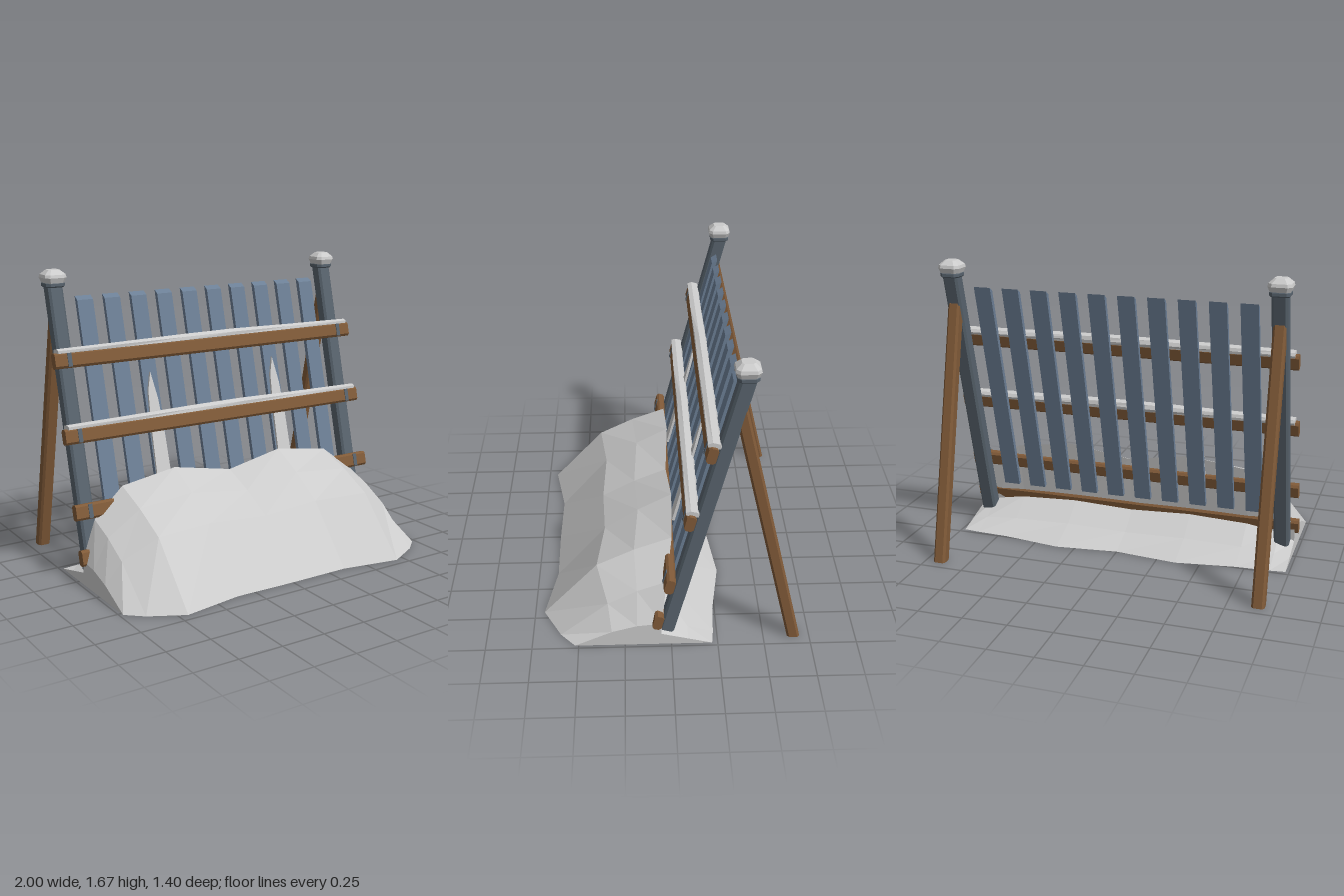
import * as THREE from 'three';

const mat = (color) => new THREE.MeshStandardMaterial({ color, flatShading: true });

// Closed solid from loops of [x, y, z] points; the first point of each end loop is its fan centre
function loft(loops) {
  const n = loops[0].length, last = (loops.length - 1) * n, index = [];
  for (let i = 0; i < loops.length - 1; i++) {
    for (let j = 0; j < n; j++) {
      const k = (j + 1) % n, a = i * n + j, b = i * n + k;
      index.push(a, a + n, b + n, a, b + n, b);
    }
  }
  for (let j = 1; j < n - 1; j++) index.push(0, j, j + 1, last, last + j + 1, last + j);
  const g = new THREE.BufferGeometry();
  g.setAttribute('position', new THREE.Float32BufferAttribute(loops.flat(2), 3));
  g.setIndex(index);
  const flat = g.toNonIndexed();
  flat.computeVertexNormals();
  return flat;
}

// Chamfered rectangle corners, half sizes a and b
const chamferRect = (a, b, c) => [
  [a, -b + c], [a, b - c], [a - c, b], [-a + c, b],
  [-a, b - c], [-a, -b + c], [-a + c, -b], [a - c, -b],
];

// Bar with chamfered long edges, centred, running along z
function bar(w, h, length, c = 0.01) {
  const shape = new THREE.Shape(chamferRect(w / 2, h / 2, c).map((p) => new THREE.Vector2(...p)));
  return new THREE.ExtrudeGeometry(shape, { depth: length, bevelEnabled: false }).translate(0, 0, -length / 2);
}

// Stack of chamfered squares: [half size, y]
const stack = (levels) => loft(levels.map(([r, y]) =>
  chamferRect(r, r, r * 0.35).map(([x, z]) => [x, y, z])));

export function createModel() {
  const root = new THREE.Group();
  root.name = 'snowFence';
  const snow = mat(0xcccccc), iron = mat(0x58636d), slatPaint = mat(0x6c7f95), wood = mat(0x805a38);
  const add = (parent, name, geometry, material, x = 0, y = 0, z = 0) => {
    const m = new THREE.Mesh(geometry, material);
    m.name = name;
    m.position.set(x, y, z);
    parent.add(m);
    return m;
  };

  // Fence panel, leaning back
  const LEAN = 0.25, COS = Math.cos(LEAN), SIN = Math.sin(LEAN);
  const panel = new THREE.Group();
  panel.name = 'leaningPanel';
  panel.position.z = 0.043;
  panel.rotation.x = -LEAN;
  root.add(panel);

  // Slats with sloping tops
  const slatSide = new THREE.Shape([[0.01, 0.255], [0.036, 0.255], [0.036, 1.544], [0.01, 1.571]]
    .map((p) => new THREE.Vector2(...p)));
  const slatGeo = new THREE.ExtrudeGeometry(slatSide, { depth: 0.096, bevelEnabled: false })
    .translate(0, 0, -0.048).rotateY(-Math.PI / 2);
  for (let i = 0; i < 10; i++) add(panel, 'slat', slatGeo, slatPaint, (i - 4.5) * 0.167);

  // Rails, with snow on the upper two and straps at the posts
  const railGeo = bar(0.05, 0.084, 2, 0.012).rotateY(Math.PI / 2);
  railGeo.rotateX(0);
  const railSide = new THREE.Shape(chamferRect(0.025, 0.043, 0.012).map((p) => new THREE.Vector2(...p)));
  const railBar = new THREE.ExtrudeGeometry(railSide, { depth: 2, bevelEnabled: false })
    .translate(0, 0, -1).rotateY(-Math.PI / 2);
  const strapGeo = new THREE.BoxGeometry(0.024, 0.076, 0.006);
  const railSnowGeo = loft([-0.98, -0.6, -0.2, 0.15, 0.55, 0.98].map((x, i) => {
    const h = [0.022, 0.026, 0.032, 0.034, 0.027, 0.022][i], w = [0, 0.003, -0.002, 0.002, -0.003, 0][i];
    return [[x, -0.006, 0.034], [x, h * 0.4, 0.037 + w], [x, h, 0.016],
      [x, h, -0.02], [x, h * 0.4, -0.032 + w], [x, -0.006, -0.03]];
  }));
  [1.2, 0.8, 0.4, 0.16].forEach((height, i) => {
    const s = (height - 0.067 * SIN) / COS;
    add(panel, 'rail', railBar, wood, 0, s, 0.067);
    if (i < 2) add(panel, 'railSnow', railSnowGeo, snow, 0, s + 0.043, 0.065);
    for (const side of [-1, 1]) add(panel, 'strap', strapGeo, iron, side * 0.915, s, 0.093);
  });

  // Icy streaks lying on the slats
  const streakShape = new THREE.Shape();
  streakShape.moveTo(-0.042, 0.45);
  streakShape.lineTo(0.05, 0.45);
  streakShape.lineTo(0.044, 0.75);
  streakShape.lineTo(0.03, 0.95);
  streakShape.lineTo(0.003, 1.105);
  streakShape.lineTo(-0.025, 1.0);
  streakShape.lineTo(-0.036, 0.8);
  const streakGeo = new THREE.ExtrudeGeometry(streakShape, { depth: 0.016, bevelEnabled: false });
  for (const x of [-0.422, 0.418]) add(panel, 'snowStreak', streakGeo, snow, x, 0, 0.034);

  // Posts, rear braces and snow-topped caps
  const postGeo = bar(0.086, 0.08, 1.575, 0.012).rotateX(-Math.PI / 2);
  const braceGeo = bar(0.07, 0.068, 1.43, 0.012).rotateX(-Math.PI / 2).translate(0, 0.715, 0);
  const bp = braceGeo.attributes.position;
  for (let i = 0; i < bp.count; i++) bp.setZ(i, bp.getZ(i) + 0.233 * bp.getY(i));
  braceGeo.computeVertexNormals();
  const collarGeo = stack([[0.048, 1.58], [0.055, 1.587], [0.055, 1.602], [0.05, 1.61]]);
  const capGeo = stack([[0.052, 1.602], [0.064, 1.633], [0.06, 1.65], [0.032, 1.675]]);
  for (const side of [-1, 1]) {
    const x = side * 0.915;
    add(panel, 'post', postGeo, iron, x, 0.86, 0);
    add(root, 'brace', braceGeo, wood, x, 0, -0.664);
    add(root, 'postCollar', collarGeo, iron, x, 0, -0.36);
    add(root, 'postCapSnow', capGeo, snow, x, 0, -0.359);
  }

  // Snowdrift, half its cross-sections, mirrored:
  // x, front z, shoulder z, shoulder y, crest z, crest y, wall foot y, back z
  const half = [
    [0, 0.645, 0.375, 0.305, 0, 0.485, 0.15, -0.25],
    [0.36, 0.64, 0.36, 0.325, -0.02, 0.55, 0.17, -0.29],
    [0.7, 0.7, 0.4, 0.325, -0.01, 0.5, 0.15, -0.24],
    [0.89, 0.6, 0.34, 0.21, 0.025, 0.35, 0.11, -0.23],
    [0.98, 0.52, 0.32, 0.09, 0.05, 0.14, 0.07, -0.22],
  ];
  const mirrored = half.slice(1).reverse().map(([x, ...rest]) => [-x, ...rest]);
  const driftLoops = [...mirrored, ...half].map(([x, fz, sz, sy, cz, cy, wy, bz]) => [
    [x, wy, 0.055], [x, wy * 0.38, -0.09], [x, 0, bz], [x, 0, fz],
    [x, sy, sz], [x, (sy + cy) / 2 + 0.012, (sz + cz) / 2], [x, cy, cz],
  ]);
  // Fan order runs back to front underneath, so the loops already wind outward
  add(root, 'snowdrift', loft(driftLoops), snow);
  return root;
}
